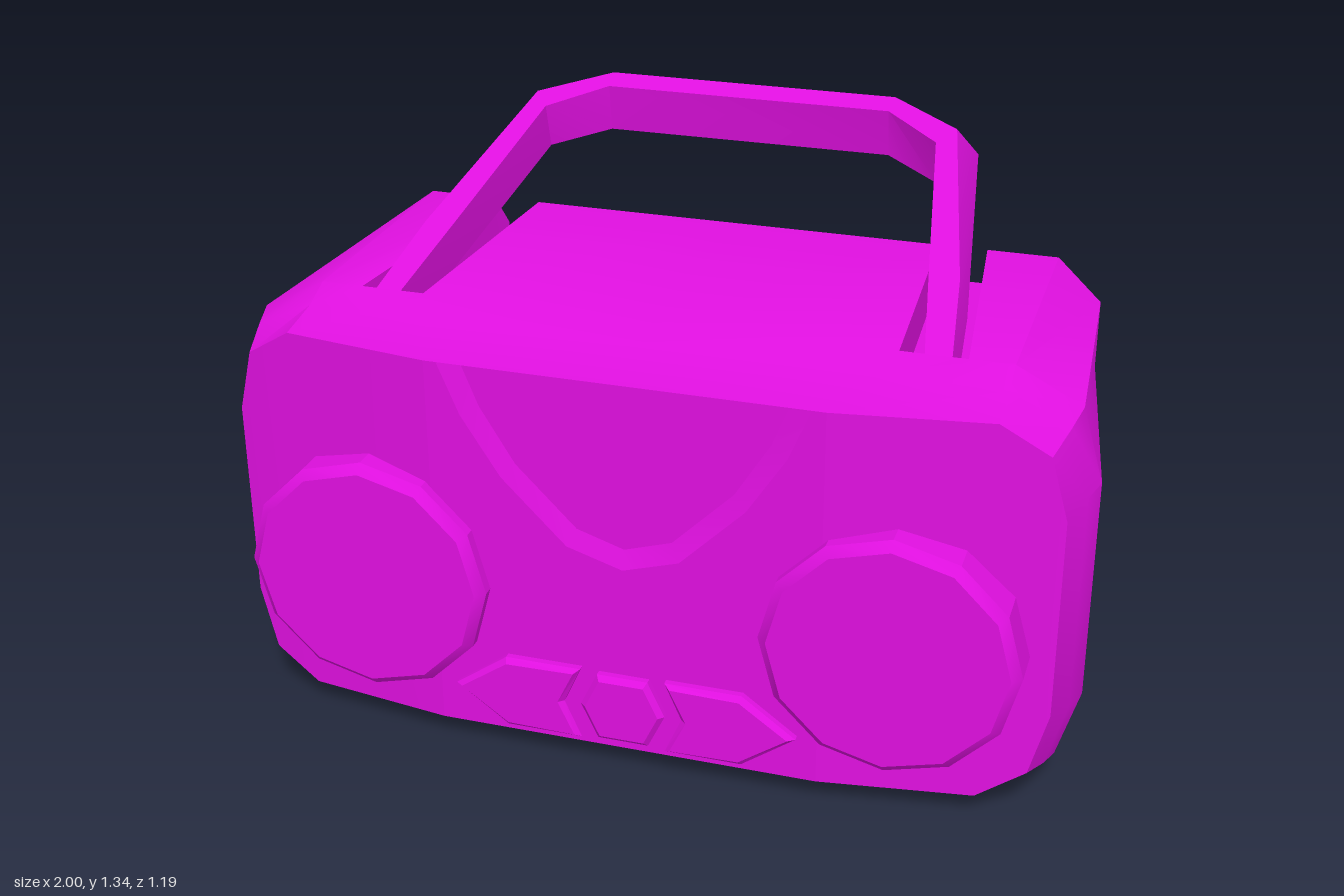
import * as THREE from 'three';
import { toCreasedNormals } from 'three/addons/utils/BufferGeometryUtils.js';

const material = new THREE.MeshStandardMaterial({ color: 0xe010e0, side: THREE.DoubleSide });

// Collects quads, skipping triangles that collapse to nothing
class Surface {
  constructor() { this.pos = []; }
  tri(a, b, c) {
    const [p, q, r] = [a, b, c].map(v => new THREE.Vector3(...v));
    if (q.sub(p).cross(r.sub(p)).length() > 1e-7) this.pos.push(...a, ...b, ...c);
  }
  quad(a, b, c, d) { this.tri(a, b, c); this.tri(a, c, d); }
  // A quad and its twin across x = 0
  pair(...q) {
    this.quad(...q);
    this.quad(...q.map(flip).reverse());
  }
  loft(rings) {
    for (let i = 0; i + 1 < rings.length; i++) {
      const r = rings[i], s = rings[i + 1], n = r.length;
      for (let j = 0; j < n; j++) this.quad(r[j], r[(j + 1) % n], s[(j + 1) % n], s[j]);
    }
  }
  geometry(crease = 0.5) {
    const g = new THREE.BufferGeometry();
    g.setAttribute('position', new THREE.Float32BufferAttribute(this.pos, 3));
    return toCreasedNormals(g, crease);
  }
}

const flip = ([x, y, z]) => [-x, y, z];

function part(name, geometry) {
  const m = new THREE.Mesh(geometry, material);
  m.name = name;
  return m;
}

// Half outline of the case: top with handle groove, corner, side, corner, bottom
function halfRing({ top, floor, bottom, z, gi, go, floorZ = z, shoulder, corner, side }) {
  const [cx, cy, cz] = corner, [sx, sy, sz] = side, mid = top + bottom;
  return [
    [0, top, z], [gi, top, z], [gi, floor, floorZ], [go, floor, floorZ], [go, top, z],
    [0.8, top, shoulder], [cx, cy, cz], [sx, sy, sz],
    [sx, mid - sy, sz], [cx, mid - cy, cz], [0.8, bottom, shoulder],
    [go, bottom, z], [0, bottom, z],
  ];
}
const fullRing = h => [...h, ...h.slice(1, -1).reverse().map(flip)];

function createBody() {
  const s = new Surface();
  const front = halfRing({ top: 0.98, floor: 0.98, bottom: 0.06, z: 0.55, gi: 0.45, go: 0.45,
    shoulder: 0.5, corner: [0.91, 0.91, 0.48], side: [0.95, 0.76, 0.47] });
  const bevel = halfRing({ top: 1.0, floor: 1.0, bottom: 0.03, z: 0.38, gi: 0.52, go: 0.65,
    shoulder: 0.38, corner: [0.935, 0.935, 0.38], side: [0.98, 0.775, 0.38] });
  const wide = { top: 1.03, floor: 1.03, bottom: 0, z: 0.31, gi: 0.55, go: 0.7,
    shoulder: 0.31, corner: [0.95, 0.952, 0.31], side: [1, 0.78, 0.31] };
  const rearTop = halfRing({ top: 1.03, floor: 0.915, bottom: 0, z: -0.33, gi: 0.512, go: 0.63,
    shoulder: -0.33, corner: [0.91, 0.945, -0.29], side: [0.91, 0.78, -0.29] });
  const back = halfRing({ top: 0.94, floor: 0.915, bottom: 0.08, z: -0.4, gi: 0.508, go: 0.622,
    shoulder: -0.37, corner: [0.91, 0.945, -0.29], side: [0.91, 0.78, -0.29] });
  s.loft([front, bevel, halfRing(wide), halfRing({ ...wide, floor: 0.915 }), rearTop, back].map(fullRing));

  // Outer columns of the curved front
  for (let i = 4; i < 7; i++) {
    s.pair(front[i], front[15 - i], front[14 - i], front[i + 1]);
  }
  // Columns of the back
  const low = ([x, , z]) => [x, z > -0.3 ? 0.075 : 0.08, z];
  for (let i = 0; i < 6; i++) {
    s.pair(back[i], back[i + 1], low(back[i + 1]), low(back[i]));
  }
  return part('body', s.geometry());
}

// Flat middle of the front with a shallow U-shaped recess
function createFrontPanel() {
  const group = new THREE.Group();
  group.name = 'frontPanel';
  const mirrored = h => [...h, ...h.slice(0, -1).reverse().map(([x, y]) => [-x, y])];
  const outer = mirrored([[0.42, 0.98], [0.37, 0.86], [0.28, 0.72], [0.13, 0.57], [0, 0.53]]);
  const inner = mirrored([[0.37, 0.98], [0.33, 0.88], [0.25, 0.75], [0.11, 0.61], [0, 0.575]]);
  const flat = pts => new THREE.ShapeGeometry(new THREE.Shape(pts.map(p => new THREE.Vector2(...p))));
  const face = flat([[-0.45, 0.98], [-0.45, 0.06], [0.45, 0.06], [0.45, 0.98], ...outer]);
  group.add(part('panelFace', face.translate(0, 0, 0.55)));
  group.add(part('recessFloor', flat(inner).translate(0, 0, 0.535)));
  const lip = new Surface();
  for (let i = 0; i + 1 < outer.length; i++) {
    lip.quad([...outer[i], 0.55], [...inner[i], 0.535], [...inner[i + 1], 0.535], [...outer[i + 1], 0.55]);
  }
  group.add(part('recessLip', lip.geometry()));
  return group;
}

// Carrying handle: a four-cornered bar leaning back, lofted from leg to leg
function createHandle() {
  // [x, distance along the leaning plane] for the four edges of the bar
  const stations = [
    [[0.605, 0], [0.665, 0], [0.67, 0], [0.61, 0]],
    [[0.565, 0.24], [0.635, 0.24], [0.65, 0.24], [0.57, 0.24]],
    [[0.49, 0.70], [0.53, 0.756], [0.57, 0.81], [0.49, 0.69]],
    [[0.355, 0.80], [0.36, 0.856], [0.36, 0.92], [0.355, 0.775]],
  ];
  const place = ([x, d], k) => {
    const n = k < 2 ? 0 : -0.115;
    return [x, 1.03 + 0.357 * d + 0.934 * n, 0.31 - 0.934 * d + 0.357 * n];
  };
  const rings = stations.map(st => st.map(place));
  const all = [...rings, ...rings.slice().reverse().map(r => r.map(flip))];
  const s = new Surface();
  s.loft(all);
  const [a, b, c, d] = rings[0];
  s.pair(d, c, b, a);
  return part('handle', s.geometry(0.6));
}

// Twelve-sided speaker with a bevelled rim
function createSpeaker(x, name) {
  const profile = [[0.29, 0.42], [0.29, 0.575], [0.268, 0.595], [0, 0.595]]
    .map(p => new THREE.Vector2(...p));
  const g = new THREE.LatheGeometry(profile, 12).rotateX(Math.PI / 2);
  const m = part(name, toCreasedNormals(g, 0.4));
  m.position.set(x, 0.43, 0);
  return m;
}

function createButton(points, name) {
  const shape = new THREE.Shape(points.map(p => new THREE.Vector2(...p)));
  const g = new THREE.ExtrudeGeometry(shape, {
    depth: 0.055, bevelEnabled: true, bevelSegments: 1,
    bevelSize: 0.012, bevelThickness: 0.012, bevelOffset: -0.012,
  });
  return part(name, g.translate(0, 0, 0.51));
}

export function createModel() {
  const model = new THREE.Group();
  model.name = 'portableStereo';
  model.add(createBody(), createFrontPanel(), createHandle());
  model.add(createSpeaker(0.607, 'leftSpeaker'), createSpeaker(-0.607, 'rightSpeaker'));

  // Row of buttons: hexagon between two pointed keys
  const hexagon = [[0.1, 0.173], [0.06, 0.258], [-0.06, 0.258], [-0.1, 0.173], [-0.06, 0.088], [0.06, 0.088]];
  const key = [[0.1, 0.082], [0.28, 0.082], [0.405, 0.173], [0.28, 0.264], [0.1, 0.264], [0.14, 0.173]];
  model.add(createButton(hexagon, 'centreButton'));
  model.add(createButton(key, 'leftButton'));
  model.add(createButton(key.map(([x, y]) => [-x, y]).reverse(), 'rightButton'));
  return model;
}
